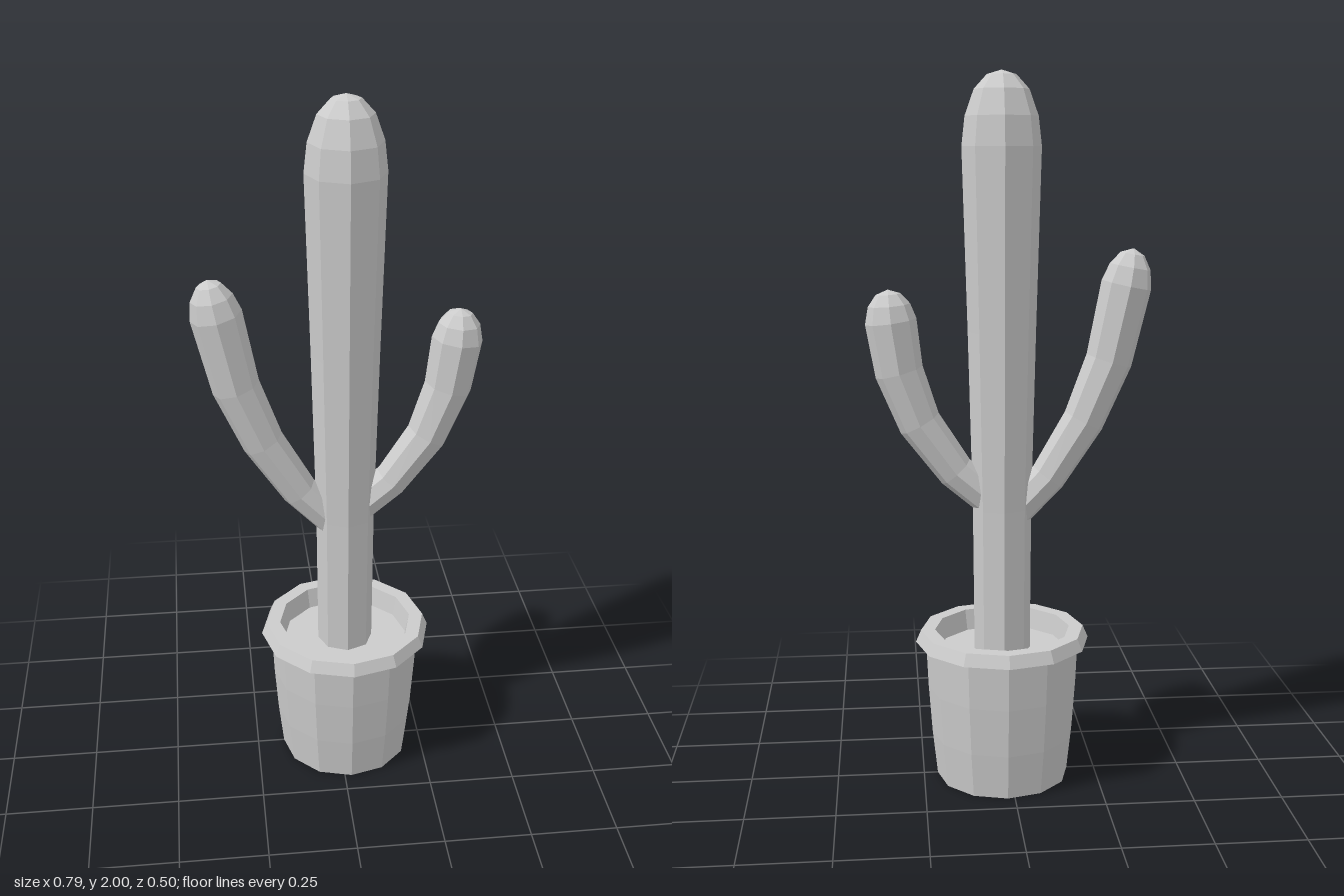
import * as THREE from 'three';

const CENTER_X = 0.02;
const SIDES = 8;

function flatMesh(name, geometry) {
  const flat = geometry.index ? geometry.toNonIndexed() : geometry;
  flat.computeVertexNormals();
  const mesh = new THREE.Mesh(
    flat,
    new THREE.MeshStandardMaterial({ color: 0xcccccc, flatShading: true })
  );
  mesh.name = name;
  return mesh;
}

function lathe(name, profile, sides) {
  const points = profile.map(([r, y]) => new THREE.Vector2(r, y));
  const mesh = flatMesh(name, new THREE.LatheGeometry(points, sides));
  mesh.position.x = CENTER_X;
  return mesh;
}

// Faceted tube in the xy plane through stations [x, y, radius], closed at both ends
function sweptArm(name, stations) {
  const positions = [];
  const index = [];
  const last = stations.length - 1;
  stations.forEach(([x, y, r], i) => {
    const a = stations[Math.max(i - 1, 0)];
    const b = stations[Math.min(i + 1, last)];
    const t = new THREE.Vector2(b[0] - a[0], b[1] - a[1]).normalize();
    for (let j = 0; j < SIDES; j++) {
      const angle = (j / SIDES) * Math.PI * 2;
      const c = Math.cos(angle) * r;
      positions.push(x + c * t.y, y - c * t.x, Math.sin(angle) * r);
    }
  });
  for (let i = 0; i < last; i++) {
    for (let j = 0; j < SIDES; j++) {
      const k = (j + 1) % SIDES;
      const p = i * SIDES + j;
      const q = i * SIDES + k;
      index.push(p, p + SIDES, q + SIDES, p, q + SIDES, q);
    }
  }
  // Base and tip caps
  const top = last * SIDES;
  for (let j = 1; j < SIDES - 1; j++) {
    index.push(0, j, j + 1, top, top + j + 1, top + j);
  }
  const geometry = new THREE.BufferGeometry();
  geometry.setAttribute('position', new THREE.Float32BufferAttribute(positions, 3));
  geometry.setIndex(index);
  return flatMesh(name, geometry);
}

export function createModel() {
  const group = new THREE.Group();
  group.name = 'pottedCactus';

  // Twelve-sided pot with overhanging rim and recessed inner wall
  group.add(lathe('pot', [
    [0, 0], [0.19, 0], [0.204, 0.13], [0.214, 0.27], [0.22, 0.405],
    [0.249, 0.405], [0.234, 0.44], [0.194, 0.44], [0.182, 0.375],
  ], 12));
  group.add(lathe('soil', [[0.184, 0.38], [0, 0.38]], 12));

  // Trunk widens upward into a rounded top
  group.add(lathe('trunk', [
    [0.08, 0.36], [0.083, 0.8], [0.095, 1.3], [0.109, 1.8],
    [0.1, 1.88], [0.075, 1.95], [0.04, 1.988], [0, 2],
  ], SIDES));

  // Curved side arms
  group.add(sweptArm('rightArm', [
    [-0.015, 0.785, 0.05], [-0.11, 0.885, 0.052], [-0.21, 1.045, 0.059],
    [-0.28, 1.215, 0.066], [-0.326, 1.425, 0.071], [-0.336, 1.475, 0.058],
    [-0.342, 1.51, 0.034], [-0.345, 1.525, 0.001],
  ]));
  group.add(sweptArm('leftArm', [
    [0.05, 0.82, 0.05], [0.15, 0.905, 0.052], [0.25, 1.045, 0.06],
    [0.305, 1.19, 0.067], [0.326, 1.33, 0.071], [0.33, 1.375, 0.058],
    [0.332, 1.405, 0.034], [0.333, 1.417, 0.001],
  ]));

  return group;
}
